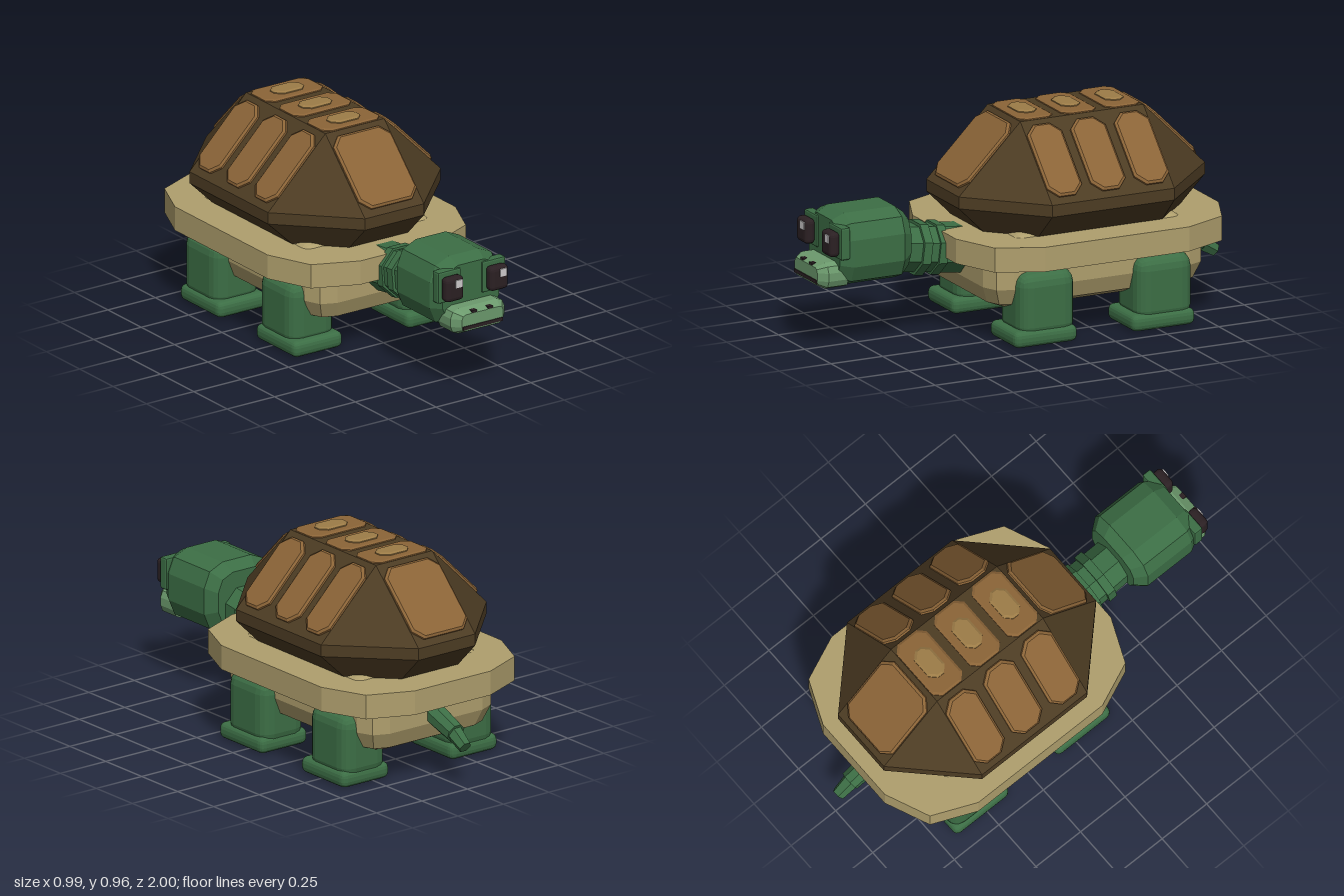
import * as THREE from 'three';
import { RoundedBoxGeometry } from 'three/addons/geometries/RoundedBoxGeometry.js';

const paint = (name, color) => {
  const m = new THREE.MeshStandardMaterial({ color, flatShading: true });
  m.name = name;
  return m;
};

// Loft upwards through rectangles with cut corners: [y, halfX, halfZ, cut].
// k = 0.5 gives a straight corner cut, k = 0.3 a two-facet corner.
function loft(rings, k = 0.3) {
  const pos = [], idx = [], n = 12;
  for (const [y, w, d, c] of rings) {
    const corner = [[w, d - c], [w - c * k, d - c * k], [w - c, d]];
    const back = [...corner].reverse();
    const loop = [
      ...corner,
      ...back.map(([x, z]) => [-x, z]),
      ...corner.map(([x, z]) => [-x, -z]),
      ...back.map(([x, z]) => [x, -z]),
    ];
    for (const [x, z] of loop) pos.push(x, y, z);
  }
  const last = (rings.length - 1) * n;
  pos.push(0, rings[0][0], 0, 0, rings[rings.length - 1][0], 0);
  const bottom = last + n, top = bottom + 1;
  for (let i = 0; i < n; i++) {
    const j = (i + 1) % n;
    for (let r = 0; r < last; r += n) {
      idx.push(r + i, r + n + i, r + j, r + j, r + n + i, r + n + j);
    }
    idx.push(bottom, i, j, top, last + j, last + i);
  }
  const g = new THREE.BufferGeometry();
  g.setAttribute('position', new THREE.Float32BufferAttribute(pos, 3));
  g.setIndex(idx);
  const flat = g.toNonIndexed();
  flat.computeVertexNormals();
  return flat;
}

// Raised cut-corner plate lying in the xz plane, facing +y
const plate = (w, d, cut, h) =>
  loft([[-0.004, w, d, cut], [h * 0.5, w, d, cut], [h, w - 0.01, d - 0.01, cut - 0.004]], 0.5);

export function createModel() {
  const model = new THREE.Group();
  model.name = 'turtle';

  const skin = paint('green skin', 0x3c6e45);
  const snout = paint('light green snout', 0x6c9a6d);
  const tan = paint('tan underside', 0xaf9f6d);
  const shellBrown = paint('dark shell', 0x4d3c23);
  const scuteBrown = paint('brown scute', 0x8b6437);
  const crestBrown = paint('light brown scute', 0x9d7c47);
  const dark = paint('dark eye', 0x2b2023);
  const white = paint('eye glint', 0xcfcccd);

  const add = (name, geo, mat, x = 0, y = 0, z = 0, parent = model) => {
    const m = new THREE.Mesh(geo, mat);
    m.name = name;
    m.position.set(x, y, z);
    parent.add(m);
    return m;
  };
  const box = (w, h, d, r, s = 2) => new RoundedBoxGeometry(w, h, d, s, r);
  const cz = -0.2625; // shell centre

  // Shell, rim and belly
  add('shell', loft([
    [0.46, 0.325, 0.47, 0.17], [0.585, 0.455, 0.595, 0.3],
    [0.638, 0.455, 0.595, 0.3], [0.937, 0.155, 0.2975, 0],
  ], 0.5), shellBrown, 0, 0, cz);
  add('rim', loft([[0.358, 0.495, 0.635, 0.287], [0.468, 0.495, 0.635, 0.287]]), tan, 0, 0, cz);
  add('belly', loft([
    [0.145, 0.26, 0.43, 0.06], [0.175, 0.325, 0.495, 0.09],
    [0.25, 0.355, 0.525, 0.1], [0.4, 0.355, 0.525, 0.1],
  ]), tan, 0, 0, -0.2575);

  // Scutes on the four slopes
  const scute = (name, w, x, z, yaw) => {
    const g = plate(w, 0.18, 0.045, 0.016);
    g.rotateX(Math.PI / 4);
    g.rotateY(yaw);
    add(name, g, scuteBrown, x, 0.79, z);
  };
  scute('frontScute', 0.152, 0, cz + 0.444, 0);
  scute('backScute', 0.152, 0, cz - 0.444, Math.PI);
  for (let i = -1; i <= 1; i++) {
    const z = cz + i * 0.211;
    for (const s of [-1, 1]) scute('sideScute', 0.084, s * 0.304, z, s * Math.PI / 2);
    // Ridge scutes with a lighter centre
    add('ridgeScute', plate(0.152, 0.084, 0.032, 0.01), scuteBrown, 0, 0.937, z);
    add('ridgeCentre', plate(0.078, 0.046, 0.03, 0.011), crestBrown, 0, 0.946, z);
  }

  // Legs, feet and hip sockets
  for (const s of [-1, 1]) {
    for (const [part, legZ, footZ] of [['front', 0.025, 0.043], ['back', -0.5425, -0.526]]) {
      add(part + 'Leg', box(0.237, 0.3, 0.27, 0.06), skin, s * 0.298, 0.175, legZ);
      add(part + 'Foot', box(0.26, 0.074, 0.305, 0.028), skin, s * 0.298, 0.039, footZ);
      add(part + 'Hip', box(0.19, 0.13, 0.25, 0.05), tan, s * 0.245, 0.419, legZ);
    }
  }

  // Cylinder between two points in the yz plane: [z, y]
  const limb = (name, a, b, rStart, rEnd, sides) => {
    const from = new THREE.Vector3(0, a[1], a[0]);
    const to = new THREE.Vector3(0, b[1], b[0]);
    const dir = to.clone().sub(from);
    const g = new THREE.CylinderGeometry(rEnd, rStart, dir.length(), sides);
    g.rotateY(Math.PI / sides);
    const m = add(name, g, skin);
    m.position.copy(from).add(to).multiplyScalar(0.5);
    m.quaternion.setFromUnitVectors(new THREE.Vector3(0, 1, 0), dir.normalize());
  };

  // Neck with two collars, and jointed tail
  limb('neck', [0.24, 0.362], [0.6, 0.408], 0.112, 0.107, 8);
  limb('neckCollar', [0.36, 0.377], [0.4, 0.382], 0.12, 0.12, 8);
  limb('neckCollar', [0.44, 0.387], [0.48, 0.392], 0.123, 0.123, 8);
  limb('tailBase', [-0.72, 0.307], [-0.92, 0.235], 0.054, 0.045, 8);
  limb('tailTip', [-0.9, 0.242], [-0.985, 0.188], 0.04, 0.03, 6);

  // Head and snout, lofted forwards
  const head = new THREE.Group();
  head.name = 'head';
  model.add(head);
  const forward = (rings) => loft(rings).rotateX(Math.PI / 2);
  add('skull', forward([
    [0.555, 0.14, 0.123, 0.08], [0.605, 0.178, 0.16, 0.1],
    [0.85, 0.178, 0.16, 0.1], [0.905, 0.148, 0.132, 0.08],
  ]), skin, 0, 0.455, 0, head);
  add('snout', forward([
    [0.86, 0.142, 0.058, 0.04], [0.955, 0.142, 0.058, 0.04], [0.994, 0.108, 0.038, 0.02],
  ]), snout, 0, 0.353, 0, head);
  add('mouth', new THREE.BoxGeometry(0.21, 0.016, 0.008), dark, 0, 0.33, 0.994, head);

  // Brows, eyes, glints and nostrils
  for (const s of [-1, 1]) {
    add('brow', box(0.122, 0.145, 0.045, 0.008, 1), skin, s * 0.117, 0.505, 0.891, head);
    add('eye', box(0.097, 0.112, 0.05, 0.02), dark, s * 0.117, 0.502, 0.935, head);
    add('eyeGlint', new THREE.BoxGeometry(0.035, 0.035, 0.008), white, s * 0.117 + 0.016, 0.528, 0.96, head);
    add('nostril', new THREE.BoxGeometry(0.025, 0.025, 0.03), dark, s * 0.042, 0.39, 0.978, head);
  }
  return model;
}
